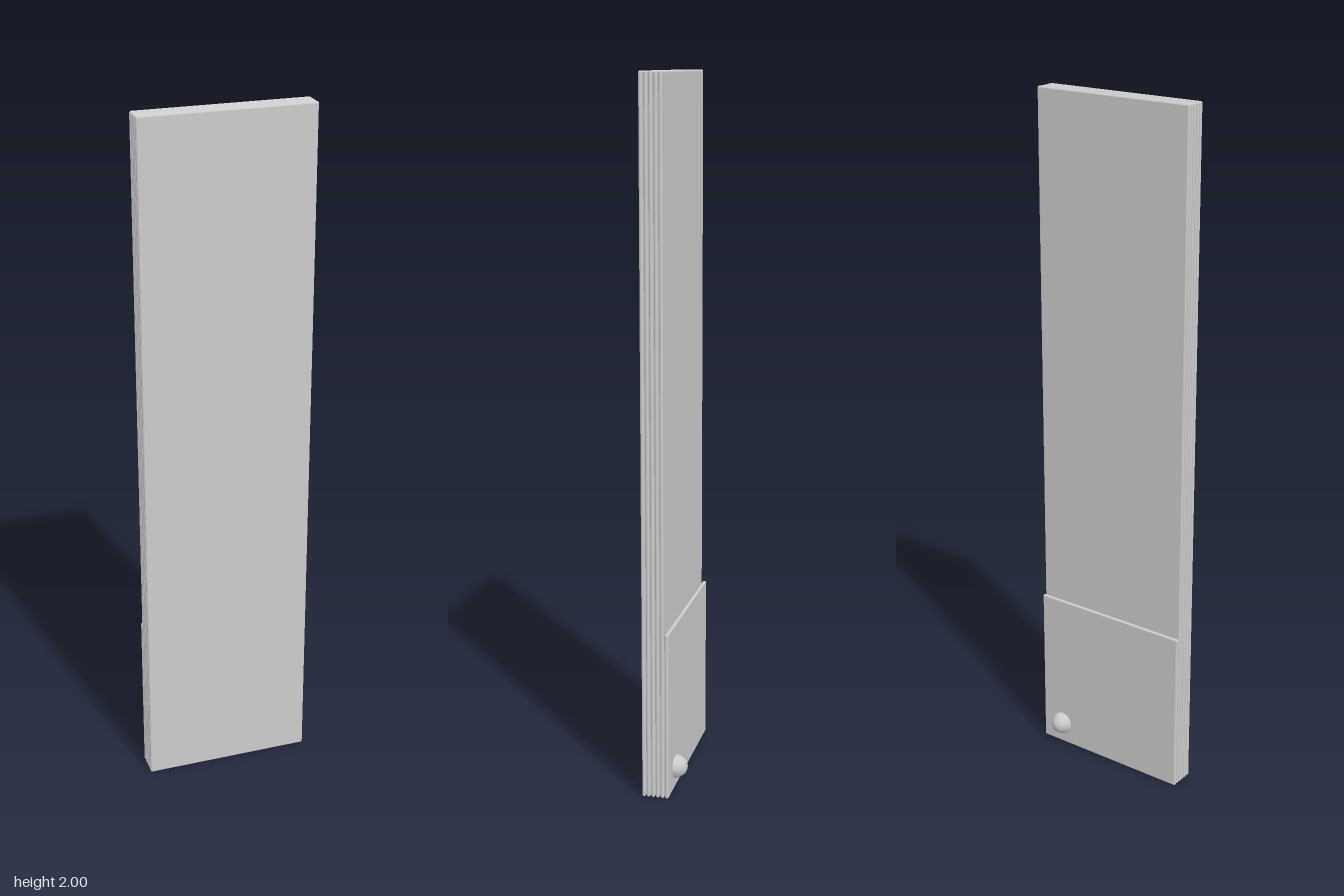
import * as THREE from 'three';
import { RoundedBoxGeometry } from 'three/addons/geometries/RoundedBoxGeometry.js';

const WIDTH = 0.488, THICK = 0.0105, PITCH = 0.0132;
const PIN_X = 0.172, PIN_Y = 0.07;

export function createModel() {
  const model = new THREE.Group();
  const material = new THREE.MeshStandardMaterial({ color: 0xcccccc });

  function add(name, geometry, x, y, z) {
    const mesh = new THREE.Mesh(geometry, material);
    mesh.name = name;
    mesh.position.set(x, y, z);
    model.add(mesh);
  }

  // Stack of thin slats with rounded edges; the rearmost is a short cover
  for (let i = 0; i < 6; i++) {
    const height = i === 0 ? 0.488 : 2;
    const slat = new RoundedBoxGeometry(WIDTH, height, THICK, 3, THICK / 2 - 0.0002);
    add(i === 0 ? 'shortBackCover' : 'slat' + i, slat, 0, height / 2, -0.0145 + i * PITCH);
  }

  // Pivot pin running through the stack
  const pin = new THREE.CylinderGeometry(0.0245, 0.0245, 0.058, 16).rotateX(Math.PI / 2);
  add('pivotPin', pin, PIN_X, PIN_Y, 0.005);

  // Domed pin head on the back, closed by a flat underside
  const dome = [[0, 0], [0.034, 0], [0.034, 0], [0.031, 0.014], [0.0215, 0.027], [0.011, 0.033], [0, 0.0355]];
  const head = new THREE.LatheGeometry(dome.map(([r, h]) => new THREE.Vector2(r, h)), 12);
  head.rotateX(-Math.PI / 2);
  add('pivotHead', head, PIN_X, PIN_Y, -0.0235);

  return model;
}
